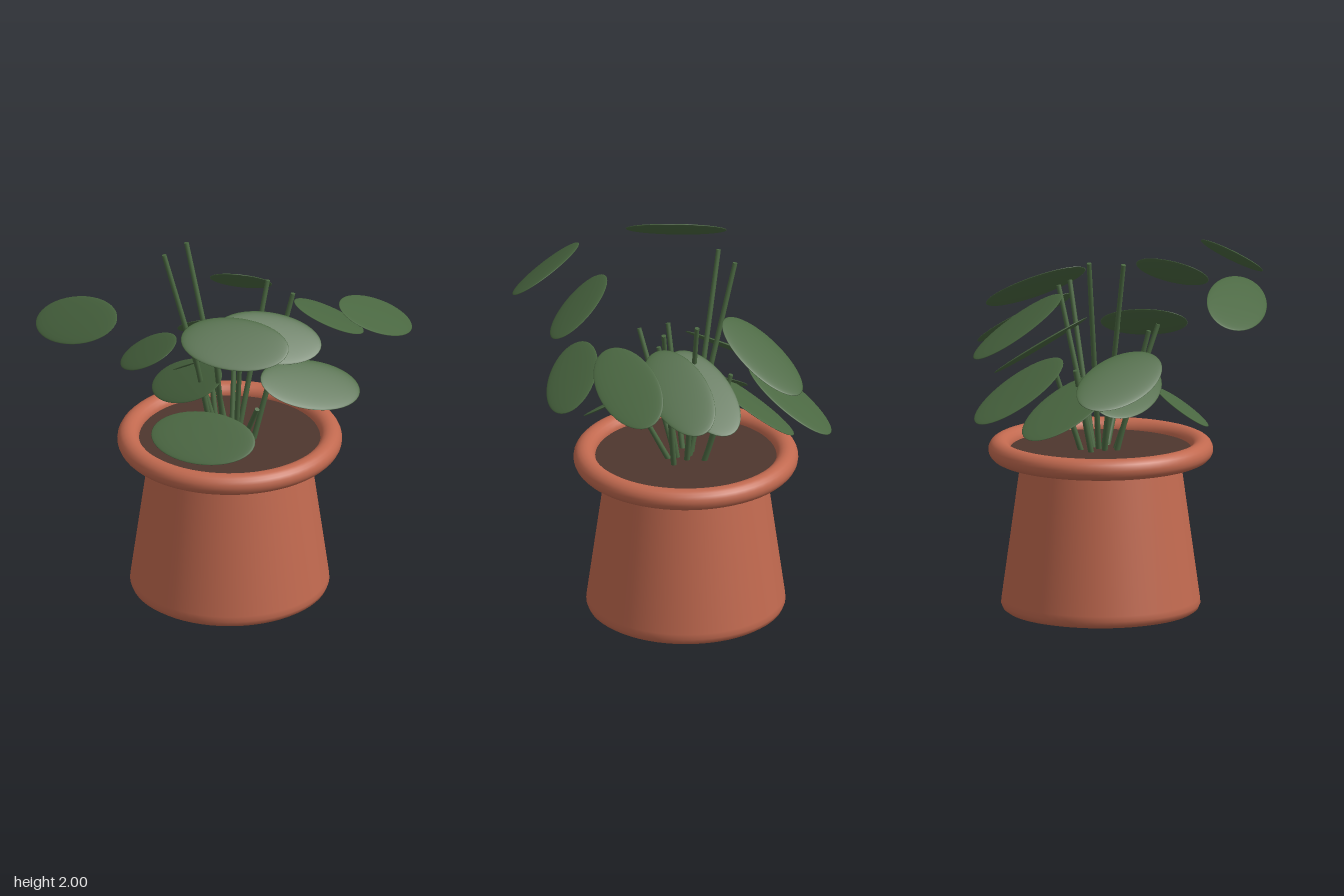
import * as THREE from 'three';

const mat = (name, color) => {
  const m = new THREE.MeshStandardMaterial({ color });
  m.name = name;
  return m;
};

export function createModel() {
  const terracotta = mat('terracotta', 0xc1694f);
  const earth = mat('dark earth', 0x4e362e);
  const green = mat('leaf green', 0x4a6741);
  const model = new THREE.Group();
  model.name = 'pottedPlant';
  const POT_Z = -0.09;

  const add = (name, geometry, material, parent = model) => {
    const mesh = new THREE.Mesh(geometry, material);
    mesh.name = name;
    parent.add(mesh);
    return mesh;
  };

  // Tapered pot, wide at the foot, with softened edges
  const profile = [
    [0, 0], [0.49, 0], [0.515, 0.006], [0.535, 0.02], [0.545, 0.045], [0.542, 0.075],
    [0.437, 0.84], [0.43, 0.875], [0.415, 0.893], [0.39, 0.9], [0, 0.9],
  ].map(([r, y]) => new THREE.Vector2(r, y));
  add('pot', new THREE.LatheGeometry(profile, 64), terracotta).position.z = POT_Z;

  // Rounded rim
  const rim = add('rim', new THREE.TorusGeometry(0.555, 0.06, 20, 64), terracotta);
  rim.rotation.x = Math.PI / 2;
  rim.position.set(0, 0.9, POT_Z);

  // Soil disc
  add('soil', new THREE.CylinderGeometry(0.505, 0.505, 0.03, 64), earth).position.set(0, 0.889, POT_Z);

  // Stems: tip x, y, z, then root x, z
  const stems = new THREE.Group();
  stems.name = 'stems';
  model.add(stems);
  const up = new THREE.Vector3(0, 1, 0);
  [
    [-0.355, 2.0, -0.02, -0.05, -0.08],
    [-0.285, 2.0, -0.2, -0.005, -0.1],
    [0.15, 1.79, -0.3, 0.03, -0.12],
    [0.325, 1.78, -0.21, 0.12, -0.11],
    [0.02, 1.58, 0.23, 0, -0.02],
    [-0.135, 1.58, 0.155, -0.06, -0.02],
    [0.1, 1.56, 0.02, 0.04, -0.07],
    [-0.18, 1.38, -0.26, -0.09, -0.15],
    [-0.06, 1.38, -0.36, -0.02, -0.19],
    [0.2, 1.17, 0.04, 0.07, -0.05],
  ].forEach(([x, y, z, rx, rz]) => {
    const tip = new THREE.Vector3(x, y, z);
    const root = new THREE.Vector3(rx, 0.86, rz);
    const axis = tip.clone().sub(root);
    const stem = add('stem', new THREE.CylinderGeometry(0.013, 0.016, axis.length(), 12), green, stems);
    stem.position.copy(tip).add(root).multiplyScalar(0.5);
    stem.quaternion.setFromUnitVectors(up, axis.normalize());
  });

  // Leaves: flat ovals sloping down and outward; the fourth value is the
  // angle in degrees between the long axis and the slope
  const leaves = new THREE.Group();
  leaves.name = 'leaves';
  model.add(leaves);
  const leafShape = new THREE.SphereGeometry(1, 40, 20);
  leafShape.scale(0.297, 0.012, 0.165);
  const tilt = THREE.MathUtils.degToRad(34);
  [
    [-0.29, 1.3, -0.59, 15],
    [-0.09, 1.617, -0.565, 4],
    [0.205, 1.445, -0.39, 19],
    [0.457, 1.55, -0.437, 29],
    [0.76, 1.655, -0.33, 45],
    [0.57, 1.477, 0.24, 64],
    [0.37, 1.795, 0.365, 70],
    [0.28, 1.895, 0.68, 81],
    [-0.005, 1.117, 0.362, 90],
    [-0.67, 1.832, 0.557, 67],
    [-0.21, 1.27, 0.02, 61],
    [-0.457, 1.372, -0.06, 54],
    [-0.27, 1.195, -0.32, 26],
  ].forEach(([x, y, z, roll]) => {
    const azimuth = Math.atan2(x, POT_Z - z);
    const side = azimuth < 0 ? -1 : 1;
    const psi = THREE.MathUtils.degToRad(roll);
    const s = Math.sin(azimuth), c = Math.cos(azimuth);
    const slope = new THREE.Vector3(s * Math.cos(tilt), -Math.sin(tilt), -c * Math.cos(tilt));
    const across = new THREE.Vector3(-c * side, 0, -s * side);
    const long = slope.clone().multiplyScalar(Math.cos(psi)).addScaledVector(across, Math.sin(psi));
    const normal = new THREE.Vector3(s * Math.sin(tilt), Math.cos(tilt), -c * Math.sin(tilt));
    const wide = new THREE.Vector3().crossVectors(long, normal);
    const leaf = add('leaf', leafShape, green, leaves);
    leaf.quaternion.setFromRotationMatrix(new THREE.Matrix4().makeBasis(long, normal, wide));
    leaf.position.set(x, y, z);
  });

  return model;
}
